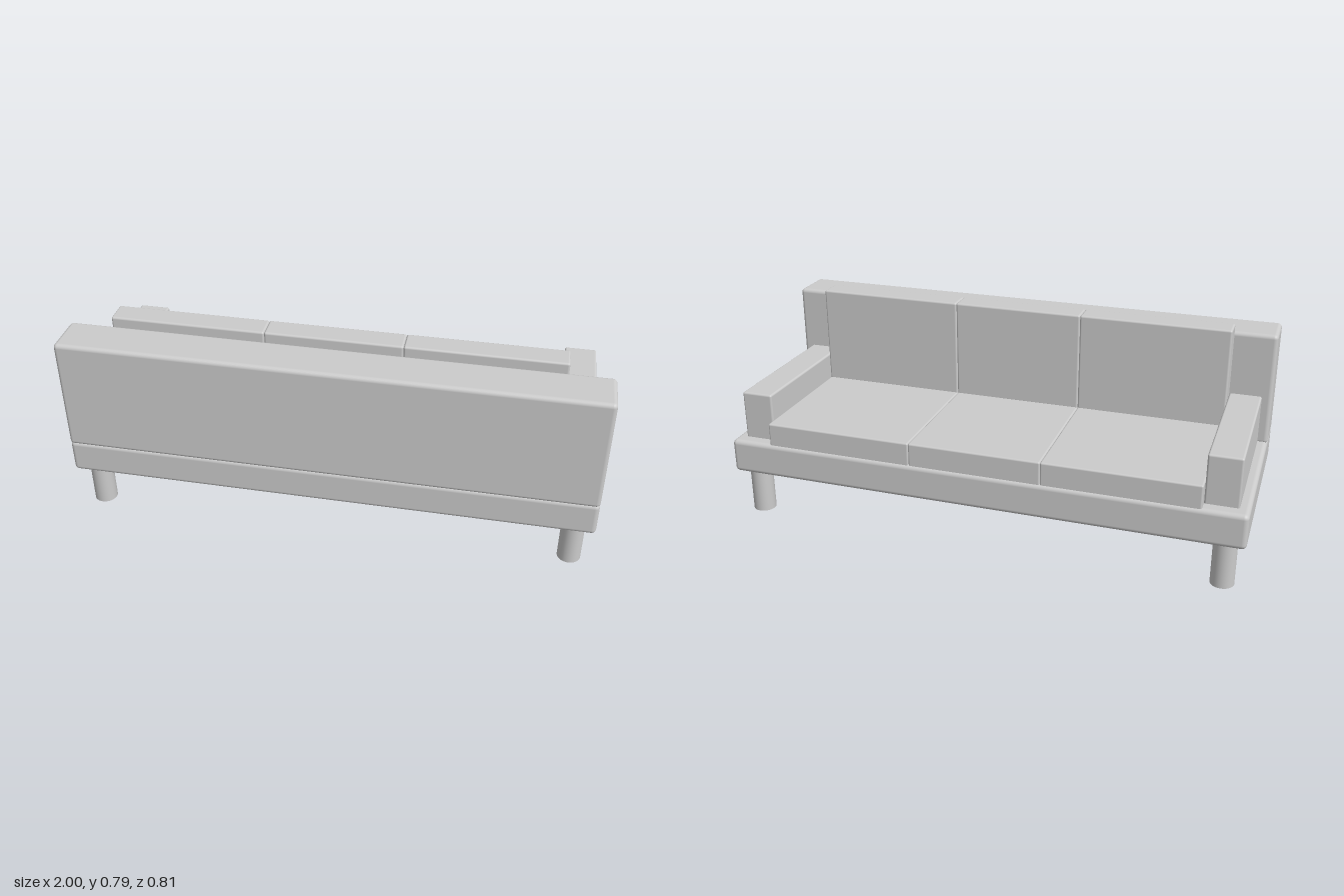
import * as THREE from 'three';
import { RoundedBoxGeometry } from 'three/addons/geometries/RoundedBoxGeometry.js';

export function createModel() {
  const sofa = new THREE.Group();
  sofa.name = 'sofa';
  const material = new THREE.MeshStandardMaterial({ color: 0xcccccc });

  // Rounded block given by its [min, max] extents on each axis
  function block(name, [x0, x1], [y0, y1], [z0, z1], radius) {
    const geometry = new RoundedBoxGeometry(x1 - x0, y1 - y0, z1 - z0, 4, radius);
    const mesh = new THREE.Mesh(geometry, material);
    mesh.name = name;
    mesh.position.set((x0 + x1) / 2, (y0 + y1) / 2, (z0 + z1) / 2);
    sofa.add(mesh);
  }

  // Base and backrest; the seat opens towards -z
  block('base', [-1, 1], [0.18, 0.315], [-0.403, 0.403], 0.018);
  block('backrest', [-1, 1], [0.305, 0.752], [0.229, 0.403], 0.016);

  // Three seat cushions with matching back cushions
  const seams = [-0.838, -0.256, 0.254, 0.836];
  for (let i = 0; i < 3; i++) {
    const span = [seams[i], seams[i + 1]];
    block('seatCushion' + (i + 1), span, [0.305, 0.402], [-0.394, 0.229], 0.007);
    block('backCushion' + (i + 1), span, [0.395, 0.786], [0.136, 0.229], 0.008);
  }

  // Armrests
  block('leftArmrest', [0.838, 0.962], [0.305, 0.503], [-0.352, 0.235], 0.008);
  block('rightArmrest', [-0.962, -0.838], [0.305, 0.503], [-0.352, 0.235], 0.008);

  // Round legs
  const legGeometry = new THREE.CylinderGeometry(0.044, 0.044, 0.19, 32);
  for (const x of [-0.923, 0.923]) {
    for (const z of [-0.332, 0.324]) {
      const leg = new THREE.Mesh(legGeometry, material);
      leg.name = (z < 0 ? 'seatSide' : 'backrestSide') + (x > 0 ? 'LeftLeg' : 'RightLeg');
      leg.position.set(x, 0.095, z);
      sofa.add(leg);
    }
  }
  return sofa;
}
